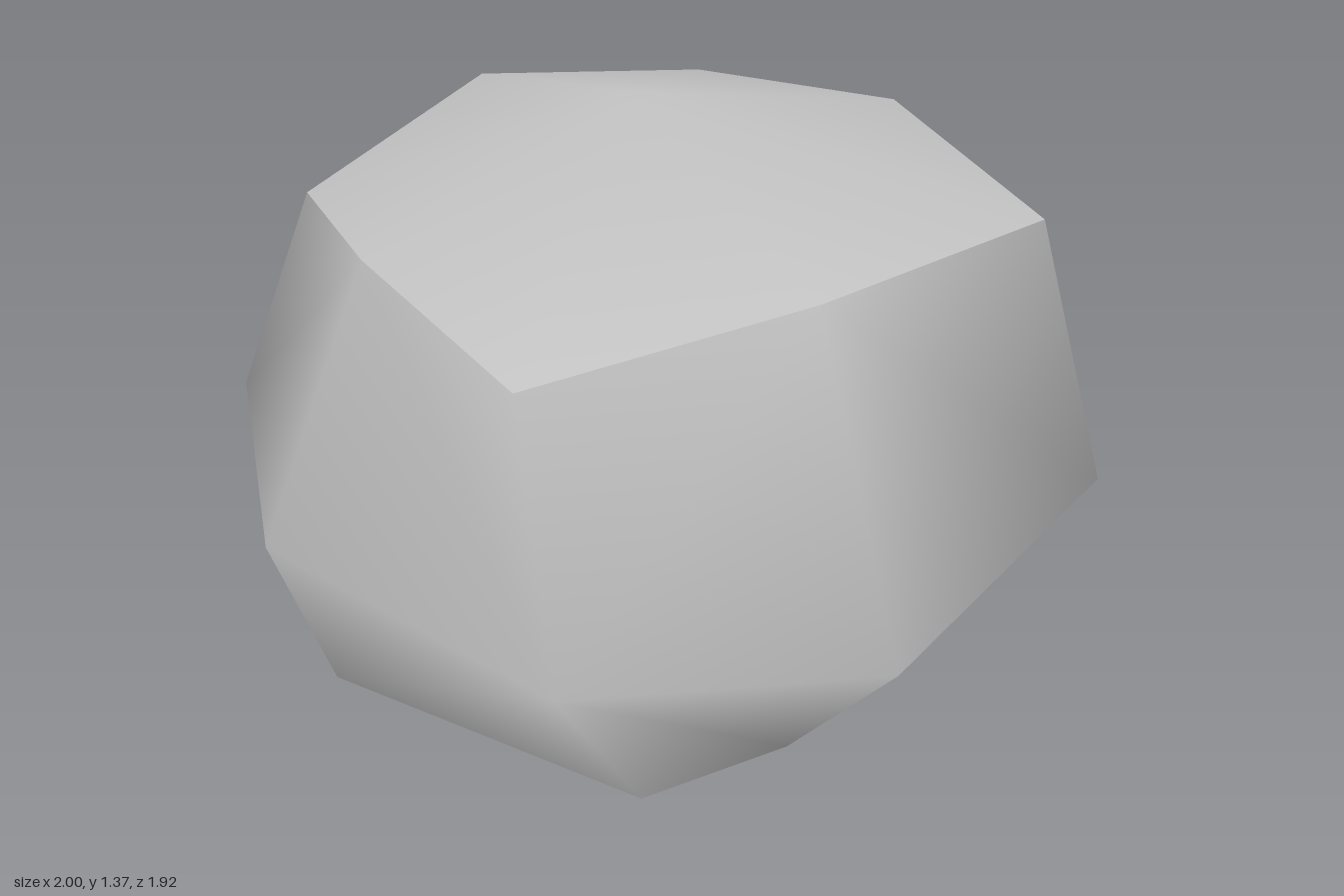
import * as THREE from 'three';

// Rings of eight points, counter-clockwise from the middle of the front
const lowerRing = [
  [-0.1, 0.07, 0.61], [0.42, 0.07, 0.39], [0.64, 0.07, -0.15], [0.32, 0.07, -0.66],
  [-0.23, 0, -0.7], [-0.62, 0.04, -0.64], [-0.86, 0.07, -0.14], [-0.46, 0.07, 0.58],
];
const middleRing = [
  [-0.09, 0.52, 0.96], [0.71, 0.53, 0.66], [1, 0.54, -0.12], [0.62, 0.55, -0.8],
  [-0.13, 0.54, -0.96], [-0.79, 0.53, -0.77], [-1, 0.53, -0.09], [-0.71, 0.53, 0.68],
];
const upperRing = [
  [-0.09, 1.21, 0.65], [0.62, 1.14, 0.49], [0.69, 1.18, -0.14], [0.5, 1.1, -0.72],
  [-0.08, 1.18, -0.81], [-0.61, 1.04, -0.68], [-0.71, 1.14, -0.11], [-0.68, 1.13, 0.51],
];
const topCentre = [-0.05, 1.37, -0.11];
const bottomCentre = [-0.15, 0.02, -0.1];

// Smooth-shaded patch; separate patches keep a hard edge between them
function patch(name, points, index, material) {
  const geometry = new THREE.BufferGeometry();
  geometry.setAttribute('position', new THREE.Float32BufferAttribute(points.flat(), 3));
  geometry.setIndex(index);
  geometry.computeVertexNormals();
  const mesh = new THREE.Mesh(geometry, material);
  mesh.name = name;
  return mesh;
}

// Cap fanned out from a centre point to a ring
function cap(name, centre, ring, facesUp, material) {
  const index = [];
  ring.forEach((_, i) => {
    const a = i + 1, b = (i + 1) % ring.length + 1;
    index.push(0, ...(facesUp ? [a, b] : [b, a]));
  });
  return patch(name, [centre, ...ring], index, material);
}

// Wall joining successive rings
function wall(name, rings, material) {
  const n = rings[0].length, index = [];
  for (let r = 0; r < rings.length - 1; r++) {
    for (let i = 0; i < n; i++) {
      const a = r * n + i, b = r * n + (i + 1) % n, c = b + n, d = a + n;
      // Alternate the diagonal so that it runs to the middle ring's corners
      if ((i + r) % 2 === 0) index.push(a, b, c, a, c, d);
      else index.push(a, b, d, b, c, d);
    }
  }
  return patch(name, rings.flat(), index, material);
}

export function createModel() {
  const stone = new THREE.MeshStandardMaterial({ color: 0xc4c4c4 });
  stone.name = 'stone grey';

  const rock = new THREE.Group();
  rock.name = 'rock';
  rock.add(
    wall('rockSides', [lowerRing, middleRing, upperRing], stone),
    cap('rockTop', topCentre, upperRing, true, stone),
    cap('rockUnderside', bottomCentre, lowerRing, false, stone),
  );
  return rock;
}
